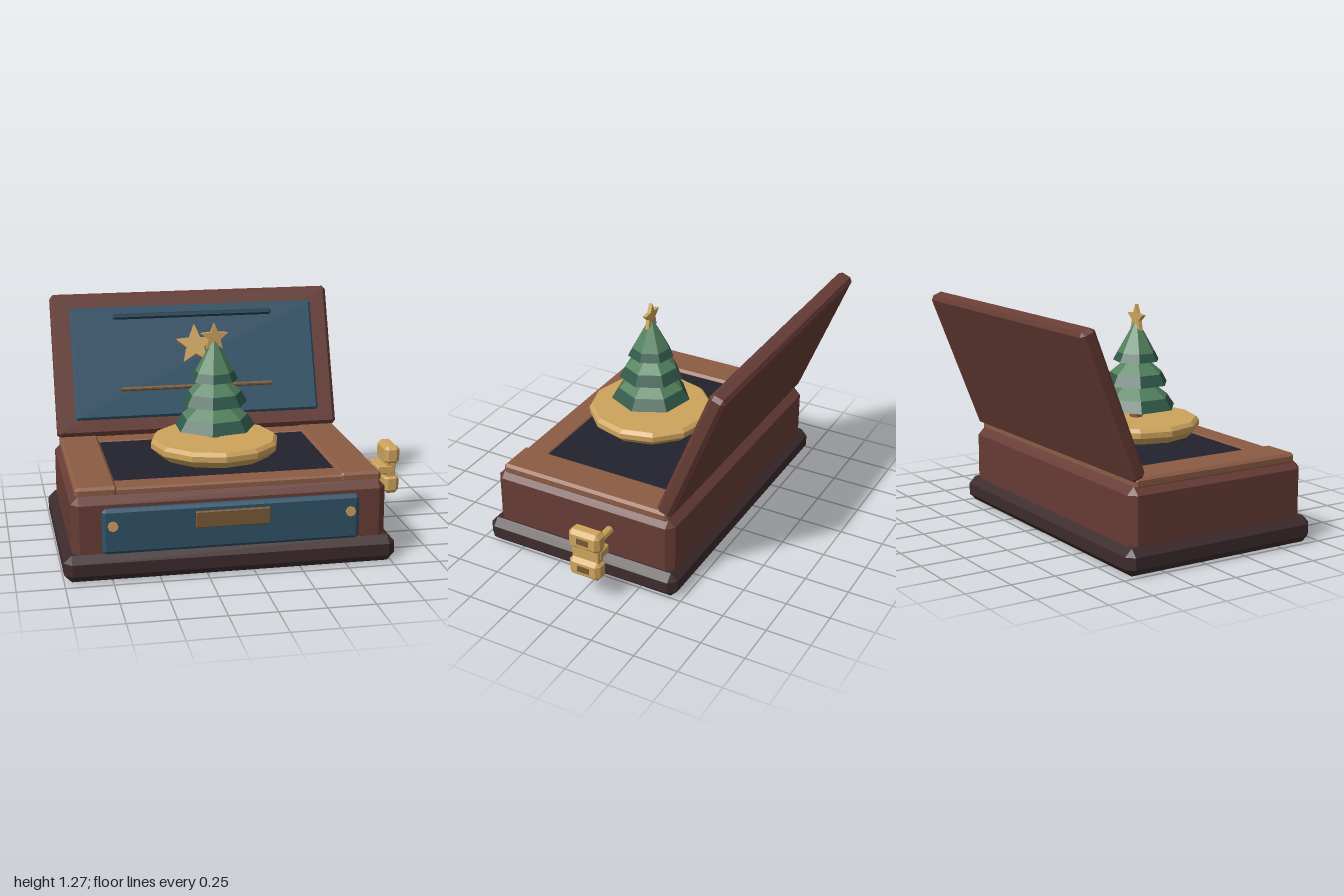
import * as THREE from 'three';
import { ConvexGeometry } from 'three/addons/geometries/ConvexGeometry.js';

const material = (name, color) => {
  const m = new THREE.MeshStandardMaterial({ color, flatShading: true });
  m.name = name;
  return m;
};

export function createModel() {
  const darkWood = material('dark wood', 0x3d2b2d);
  const redWood = material('red wood', 0x673c35);
  const lightWood = material('light wood', 0x8c5b44);
  const blue = material('blue', 0x2e5268);
  const deepBlue = material('deep blue', 0x223f52);
  const gold = material('gold', 0xcda35c);
  const bronze = material('bronze', 0x795937);
  const night = material('night', 0x22222d);
  const leaf = material('leaf', 0x53825f);
  const deepLeaf = material('deep leaf', 0x30594a);

  const model = new THREE.Group();
  model.name = 'musicBox';

  const add = (parent, name, geometry, mat, x = 0, y = 0, z = 0) => {
    const mesh = new THREE.Mesh(geometry, mat);
    mesh.name = name;
    mesh.position.set(x, y, z);
    parent.add(mesh);
    return mesh;
  };

  // Box with every edge cut off at 45 degrees
  const chamferBox = (w, h, d, c) => {
    const points = [];
    for (const sx of [-1, 1]) for (const sy of [-1, 1]) for (const sz of [-1, 1]) {
      const x = w / 2, y = h / 2, z = d / 2;
      points.push(
        new THREE.Vector3(sx * x, sy * (y - c), sz * (z - c)),
        new THREE.Vector3(sx * (x - c), sy * y, sz * (z - c)),
        new THREE.Vector3(sx * (x - c), sy * (y - c), sz * z));
    }
    return new ConvexGeometry(points);
  };

  // Chamfered box given by its limits on each axis
  const block = (parent, name, mat, [x0, x1], [y0, y1], [z0, z1], c) =>
    add(parent, name, chamferBox(x1 - x0, y1 - y0, z1 - z0, c), mat,
      (x0 + x1) / 2, (y0 + y1) / 2, (z0 + z1) / 2);

  // Five-pointed star centred on its thickness
  const star = (r, depth) => {
    const shape = new THREE.Shape();
    for (let i = 0; i < 10; i++) {
      const a = Math.PI / 2 + i * Math.PI / 5, q = i % 2 ? r * 0.45 : r;
      shape[i ? 'lineTo' : 'moveTo'](q * Math.cos(a), q * Math.sin(a));
    }
    return new THREE.ExtrudeGeometry(shape, { depth, bevelEnabled: false }).translate(0, 0, -depth / 2);
  };

  const cx = -0.115;

  // Case
  block(model, 'base', darkWood, [-1, 0.77], [0, 0.145], [-0.47, 0.71], 0.04);
  block(model, 'body', redWood, [-0.955, 0.72], [0.1, 0.447], [-0.43, 0.67], 0.04);
  block(model, 'floor', night, [-0.73, 0.5], [0.44, 0.472], [-0.27, 0.5], 0.005);
  block(model, 'leftRail', lightWood, [0.48, 0.7], [0.43, 0.49], [-0.39, 0.63], 0.015);
  block(model, 'rightRail', lightWood, [-0.93, -0.71], [0.43, 0.49], [-0.39, 0.63], 0.015);
  block(model, 'frontRail', lightWood, [-0.73, 0.5], [0.43, 0.478], [0.48, 0.622], 0.01);
  block(model, 'backRail', lightWood, [-0.73, 0.5], [0.43, 0.478], [-0.39, -0.255], 0.01);

  // Drawer
  block(model, 'drawer', blue, [-0.8, 0.565], [0.145, 0.39], [0.64, 0.7], 0.018);
  block(model, 'drawerPlate', bronze, [-0.315, 0.08], [0.265, 0.355], [0.69, 0.713], 0.005);
  for (const side of [-1, 1]) {
    add(model, 'drawerKnob', new THREE.CylinderGeometry(0.028, 0.028, 0.02, 8).rotateX(Math.PI / 2),
      gold, cx + side * 0.63, 0.3, 0.697);
  }

  // Winding key
  const key = new THREE.Group();
  key.name = 'windingKey';
  key.position.set(0, 0.295, -0.055);
  model.add(key);
  add(key, 'keyShaft', new THREE.CylinderGeometry(0.023, 0.023, 0.24, 8).rotateZ(Math.PI / 2), gold, 0.8);
  block(key, 'keyHub', gold, [0.865, 0.96], [-0.028, 0.028], [-0.083, 0.083], 0.008);
  block(key, 'keyBridge', gold, [0.92, 0.975], [-0.05, 0.05], [-0.08, 0.08], 0.005);
  for (const side of [-1, 1]) {
    add(key, 'keyWing', chamferBox(0.09, 0.112, 0.186, 0.022), gold, 0.953, side * 0.087);
    add(key, 'keyInset', new THREE.BoxGeometry(0.008, 0.036, 0.072), bronze, 0.996, side * 0.087);
  }

  // Open lid
  const lid = new THREE.Group();
  lid.name = 'lid';
  lid.position.set(cx, 0.868, -0.518);
  lid.rotation.x = -0.375;
  model.add(lid);
  add(lid, 'lidBoard', chamferBox(1.65, 0.835, 0.09, 0.02), redWood);
  add(lid, 'lidPanel', chamferBox(1.435, 0.655, 0.04, 0.012), blue, 0, 0, 0.043);
  add(lid, 'upperBar', chamferBox(0.94, 0.032, 0.03, 0.008), deepBlue, 0, 0.267, 0.068);
  add(lid, 'lowerBar', new THREE.CylinderGeometry(0.012, 0.012, 0.89, 8).rotateZ(Math.PI / 2),
    bronze, 0, -0.162, 0.082);
  add(lid, 'lidStar', star(0.12, 0.04), gold, 0, 0.08, 0.083);

  // Turntable and tree
  const tree = new THREE.Group();
  tree.name = 'tree';
  tree.position.set(cx, 0, 0.155);
  model.add(tree);
  const ring = (name, mat, r0, y0, r1, y1, sides) => add(tree, name,
    new THREE.CylinderGeometry(r1, r0, y1 - y0, sides, 1, false, Math.PI / 2), mat, 0, (y0 + y1) / 2, 0);
  ring('spindle', night, 0.12, 0.465, 0.12, 0.51, 12);
  const profile = [[0, 0.504], [0.31, 0.504], [0.354, 0.545], [0.354, 0.575], [0.335, 0.595], [0, 0.595]];
  add(tree, 'turntable', new THREE.LatheGeometry(profile.map(p => new THREE.Vector2(...p)), 12), gold);
  ring('trunk', lightWood, 0.037, 0.59, 0.037, 0.68, 7);

  // Each tier: hem radius and height, bend radius and height, top radius and height
  const tiers = [
    [0.227, 0.653, 0.185, 0.714, 0.075, 0.8],
    [0.182, 0.786, 0.149, 0.847, 0.05, 0.93],
    [0.131, 0.916, 0.107, 0.962, 0.008, 1.137],
  ];
  for (const [r0, y0, r1, y1, r2, y2] of tiers) {
    ring('branchHem', deepLeaf, r0, y0, r1, y1, 7);
    ring('branchTop', leaf, r1, y1, r2, y2, 7);
  }
  add(tree, 'treeStar', star(0.078, 0.022), gold, 0, 1.15, 0);

  return model;
}
